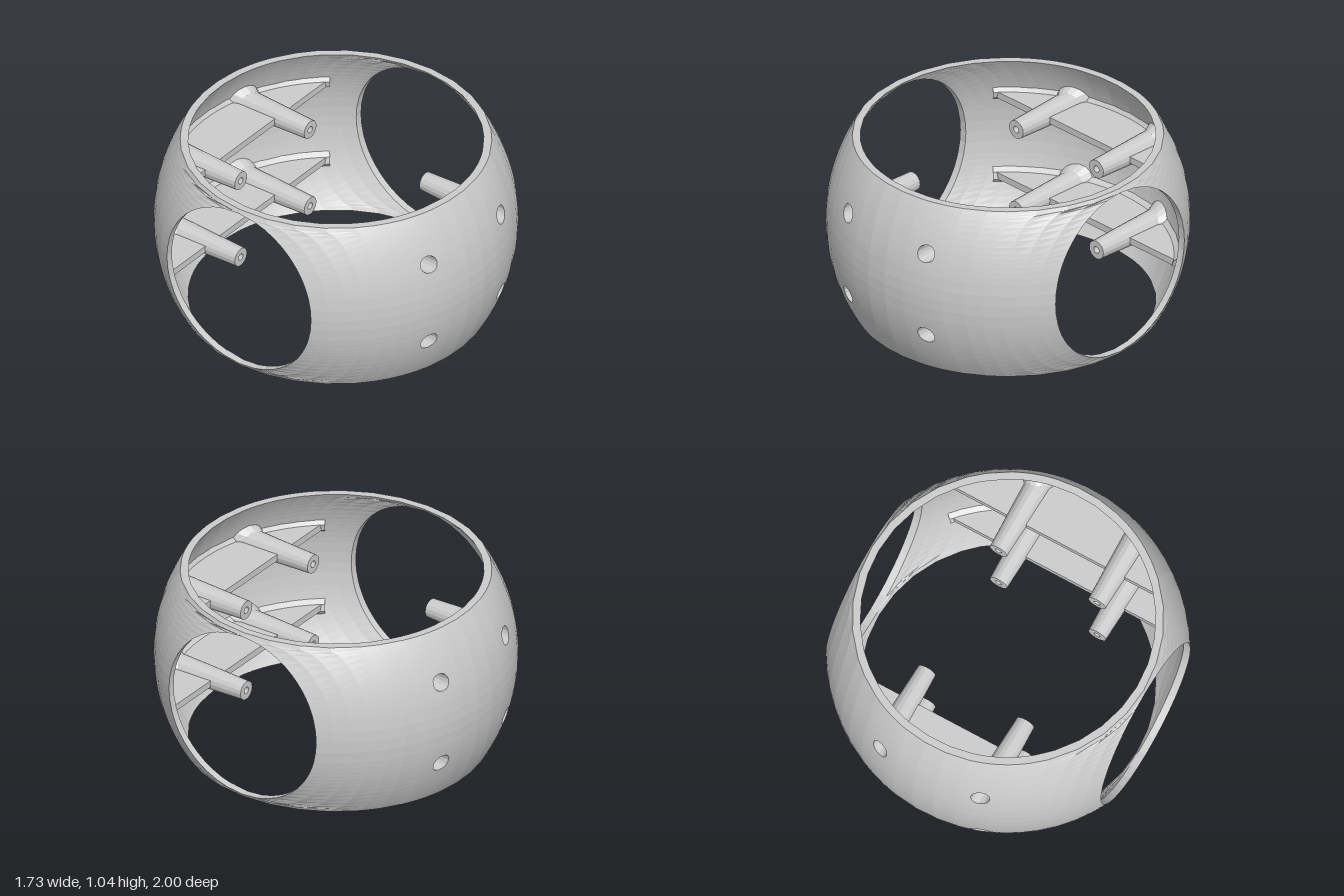
import * as THREE from 'three';

const MID = 0.52;            // height of the sphere centre
const OUTER = 1, INNER = 0.963;
const OPENING = 0.5;         // radius of the side openings
const BORE = 0.05, PATCH = 0.12;
const HOLE_Y = [-0.255, 0.255];
const material = new THREE.MeshStandardMaterial({ color: 0xcccccc, flatShading: true });

function part(geometry, name) {
  const mesh = new THREE.Mesh(geometry, material);
  mesh.name = name;
  return mesh;
}

const sorted = (list) => list.sort((a, b) => a - b);
const aroundHole = (c) => [-0.12, -0.085, -0.05, -0.025, 0, 0.025, 0.05, 0.085, 0.12].map((d) => c + d);

// Half of the spherical band: a grid whose lines bend into circles round the screw bores
function halfShell(holeX) {
  const c = (holeX[0] + holeX[1]) / 2;
  const us = sorted([...holeX.flatMap(aroundHole), c - 0.065, c + 0.065,
    ...[0.52, 0.6, 0.7, 0.8, 0.9, 1].flatMap((v) => [-v, v])]);
  const vs = sorted([...HOLE_Y.flatMap(aroundHole), 0,
    ...[0.065, 0.41, 0.44, 0.47, 0.49, 0.5, 0.52].flatMap((v) => [-v, v])]);
  const holes = holeX.flatMap((x) => HOLE_Y.map((y) => [x, y]));

  const point = (i, j, R) => {
    let x = us[i], y = vs[j];
    for (const [hx, hy] of holes) {
      const dx = us[i] - hx, dy = vs[j] - hy;
      const d = Math.max(Math.abs(dx), Math.abs(dy));
      if (d < 1e-6 || d > PATCH) continue;
      const t = Math.max(0, (d - BORE) / (PATCH - BORE));
      const k = THREE.MathUtils.lerp(d / Math.hypot(dx, dy), 1, t);
      x = hx + dx * k;
      y = hy + dy * k;
    }
    const rho = Math.sqrt(R * R - y * y);
    if (Math.abs(x) > 0.6) {
      // outer columns fan out to the edge of the side opening
      const edge = Math.acos(Math.sqrt(Math.max(0, OPENING ** 2 - y * y)) / rho);
      const a = THREE.MathUtils.lerp(Math.asin(0.6 / rho), edge, (Math.abs(x) - 0.6) / 0.4);
      return [Math.sign(x) * rho * Math.sin(a), y, rho * Math.cos(a)];
    }
    return [x, y, Math.sqrt(rho * rho - x * x)];
  };

  const kept = (i, j) => {
    if (i < 0 || j < 0 || i >= us.length - 1 || j >= vs.length - 1) return false;
    const x = (us[i] + us[i + 1]) / 2, y = (vs[j] + vs[j + 1]) / 2;
    return !holes.some(([hx, hy]) => Math.max(Math.abs(x - hx), Math.abs(y - hy)) < BORE);
  };

  const positions = [];
  const quad = (a, b, c2, d) => positions.push(...a, ...b, ...c2, ...a, ...c2, ...d);
  for (let i = 0; i < us.length - 1; i++) {
    for (let j = 0; j < vs.length - 1; j++) {
      if (!kept(i, j)) continue;
      const corners = [[i, j], [i + 1, j], [i + 1, j + 1], [i, j + 1]];
      const o = corners.map(([p, q]) => point(p, q, OUTER));
      const n = corners.map(([p, q]) => point(p, q, INNER));
      quad(...o);
      quad(n[3], n[2], n[1], n[0]);
      // rim walls where the wall thickness is exposed
      [[0, -1], [1, 0], [0, 1], [-1, 0]].forEach(([di, dj], e) => {
        if (kept(i + di, j + dj)) return;
        const f = (e + 1) % 4;
        const seam = di !== 0 && (i + di < 0 || i + di >= us.length - 1)
          && Math.abs(vs[j] + vs[j + 1]) / 2 > OPENING;
        if (!seam) quad(o[e], n[e], n[f], o[f]);
      });
    }
  }
  const g = new THREE.BufferGeometry();
  g.setAttribute('position', new THREE.Float32BufferAttribute(positions, 3));
  g.computeVertexNormals();
  return g;
}

// Tapered, counterbored screw post; its outer end follows the curved wall
function screwPost(hx, hy) {
  const profile = [[BORE, 0.9], [BORE, 0.48], [0.02, 0.48], [0.02, 0.4], [0.055, 0.4],
    [0.063, 0.6], [0.071, 0.83], [0.1, 0.89]].map(([r, z]) => new THREE.Vector2(r, z));
  const g = new THREE.LatheGeometry(profile, 16);
  g.rotateX(Math.PI / 2);
  g.translate(hx, hy, 0);
  const p = g.attributes.position;
  for (let i = 0; i < p.count; i++) {
    const z = p.getZ(i);
    if (z < 0.8) continue;
    p.setZ(i, z - 0.9 + Math.sqrt(0.98 ** 2 - p.getX(i) ** 2 - p.getY(i) ** 2));
  }
  g.computeVertexNormals();
  return g;
}

// Flat web between straight front edge and curved wall
function web(x0, x1, y) {
  const R = 0.945, steps = 10;
  const shape = new THREE.Shape();
  shape.moveTo(x0, 0.6);
  shape.lineTo(x1, 0.6);
  for (let k = 0; k <= steps; k++) {
    const x = x1 + (x0 - x1) * k / steps;
    shape.lineTo(x, Math.sqrt(R * R - x * x));
  }
  const g = new THREE.ExtrudeGeometry(shape, { depth: 0.04, bevelEnabled: false });
  g.rotateX(Math.PI / 2);
  g.translate(0, y + 0.02, 0);
  return g;
}

// Sloped fillet joining web and wall
function webFillet(x0, x1, y) {
  let pts = [[0.92, 0.05], [0.9, 0.02], [0.91, -0.02], [0.95, -0.05]];
  if (y < 0) pts = pts.map(([r, h]) => [r, -h]).reverse();
  const a0 = Math.asin(x0 / 0.94), a1 = Math.asin(x1 / 0.94);
  const g = new THREE.LatheGeometry(pts.map(([r, h]) => new THREE.Vector2(r, h)), 8, a0, a1 - a0);
  g.translate(0, y, 0);
  return g;
}

function half(name, holeX) {
  const group = new THREE.Group();
  group.name = name;
  group.add(part(halfShell(holeX), 'shell'));
  const [a, b] = holeX;
  const spans = [[-0.72, a - 0.056], [a + 0.056, b - 0.056], [b + 0.056, 0.72]];
  for (const y of HOLE_Y) {
    for (const x of holeX) group.add(part(screwPost(x, y), 'screwPost'));
    for (const [x0, x1] of spans) {
      group.add(part(web(x0, x1, y), 'web'));
      group.add(part(webFillet(x0, x1, y), 'webFillet'));
    }
  }
  group.position.y = MID;
  return group;
}

export function createModel() {
  const model = new THREE.Group();
  model.name = 'sphericalHousing';
  const front = half('frontHalf', [-0.335, 0.285]);
  const back = half('backHalf', [-0.285, 0.335]);
  back.rotation.y = Math.PI;
  model.add(front, back);
  return model;
}
